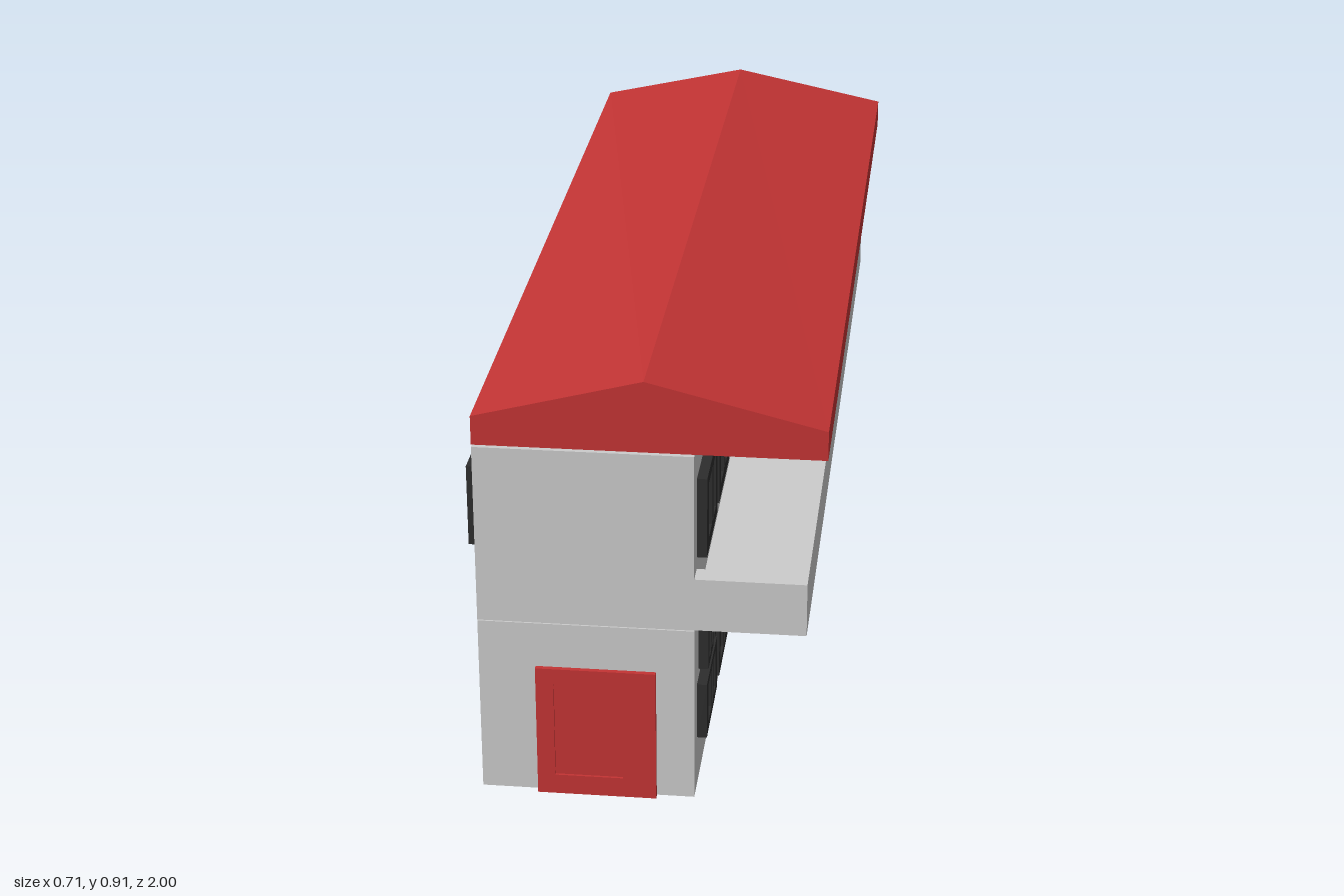
import * as THREE from 'three';

const wallMat = new THREE.MeshStandardMaterial({ color: 0xcccccc });
const redMat = new THREE.MeshStandardMaterial({ color: 0xc33434 });
const darkMat = new THREE.MeshStandardMaterial({ color: 0x2d2d2d });

const RIGHT = 0.1, LEFT = -0.33, FRONT = 0.99, BACK = -1;
const LENGTH = FRONT - BACK, MID = (FRONT + BACK) / 2;

// Box given by its limits on each axis
function block(name, mat, x0, x1, y0, y1, z0, z1) {
  const mesh = new THREE.Mesh(new THREE.BoxGeometry(x1 - x0, y1 - y0, z1 - z0), mat);
  mesh.position.set((x0 + x1) / 2, (y0 + y1) / 2, (z0 + z1) / 2);
  mesh.name = name;
  return mesh;
}

function rectangle(Type, x0, y0, x1, y1) {
  const path = new Type();
  path.moveTo(x0, y0);
  path.lineTo(x1, y0);
  path.lineTo(x1, y1);
  path.lineTo(x0, y1);
  path.closePath();
  return path;
}

// Panel with rectangular openings, given as fractions of width and height
function panel(w, h, depth, holes) {
  const shape = rectangle(THREE.Shape, -w / 2, 0, w / 2, h);
  for (const [a, b, c, d] of holes)
    shape.holes.push(rectangle(THREE.Path, (a - 0.5) * w, b * h, (c - 0.5) * w, d * h));
  return new THREE.ExtrudeGeometry(shape, { depth, bevelEnabled: false });
}

// Puts an object on a long side wall: side +1 is x+, -1 is x-
function mount(object, side, y, z) {
  object.rotation.y = side * Math.PI / 2;
  object.position.set(side > 0 ? RIGHT : LEFT, y, z);
  return object;
}

const wideHoles = [[0.16, 0.16, 0.46, 0.86], [0.52, 0.16, 0.61, 0.86], [0.66, 0.16, 0.86, 0.86]];
const smallHoles = [[0.16, 0.14, 0.46, 0.86], [0.56, 0.14, 0.84, 0.86]];

function windowRow(name, side, y, h, w, depth, holes, centres) {
  const row = new THREE.Group();
  row.name = name;
  const geometry = panel(w, h, depth, holes);
  for (const z of centres) {
    const frame = new THREE.Mesh(geometry, darkMat);
    frame.name = 'windowFrame';
    row.add(mount(frame, side, y, z));
  }
  return row;
}

// Door: pierced leaf over a thin backing, so the openings read as recesses
function door(name, w, h, depth, holes) {
  const group = new THREE.Group();
  group.name = name;
  const leaf = new THREE.Mesh(panel(w, h, depth, holes), redMat);
  leaf.name = 'doorLeaf';
  group.add(leaf);
  if (holes.length) {
    group.add(block('doorRecess', redMat, -w * 0.48, w * 0.48, h * 0.02, h * 0.98, 0, depth * 0.5));
  }
  return group;
}

// Gabled roof whose ridge drops slightly towards the back
function roof() {
  const s = new THREE.Shape();
  s.moveTo(LEFT, 0.765);
  s.lineTo(0.355, 0.765);
  s.lineTo(0.355, 0.825);
  s.lineTo(0.004, 0.912);
  s.lineTo(LEFT, 0.825);
  s.closePath();
  const geometry = new THREE.ExtrudeGeometry(s, { depth: LENGTH, bevelEnabled: false });
  geometry.translate(0, 0, BACK);
  const p = geometry.attributes.position;
  for (let i = 0; i < p.count; i++)
    if (p.getY(i) > 0.9 && p.getZ(i) < 0) p.setY(i, 0.898);
  geometry.computeVertexNormals();
  const mesh = new THREE.Mesh(geometry, redMat);
  mesh.name = 'roof';
  return mesh;
}

// Long balcony tray with parapets on three sides
function balcony() {
  const group = new THREE.Group();
  group.name = 'balcony';
  const x1 = 0.32, y0 = 0.385, y1 = 0.497, t = 0.045;
  group.add(
    block('balconyFloor', wallMat, RIGHT, x1 - t, y0, 0.41, BACK + t, FRONT - t),
    block('longParapet', wallMat, x1 - t, x1, y0, y1, BACK, FRONT),
    block('frontParapet', wallMat, RIGHT, x1 - t, y0, y1, FRONT - t, FRONT),
    block('backParapet', wallMat, RIGHT, x1 - t, y0, y1, BACK, BACK + t)
  );
  return group;
}

export function createModel() {
  const model = new THREE.Group();
  model.name = 'building';

  // Two storeys, balcony and roof
  model.add(
    block('lowerStorey', wallMat, LEFT, RIGHT, 0.003, 0.382, BACK, FRONT),
    block('upperStorey', wallMat, LEFT, RIGHT, 0.384, 0.76, BACK, FRONT),
    balcony(),
    roof()
  );

  // Windows on the balcony side
  model.add(
    windowRow('rightUpperWindows', 1, 0.52, 0.17, 0.2, 0.02, wideHoles,
      [0.84, 0.6, 0.36, 0.1, -0.165, -0.42]),
    windowRow('rightSmallWindows', 1, 0.253, 0.107, 0.1, 0.02, smallHoles,
      [0.86, 0.735, 0.515, 0.3, 0.11, -0.01, -0.15, -0.3, -0.44]),
    windowRow('rightLowerWindows', 1, 0.112, 0.122, 0.2, 0.02, wideHoles,
      [0.84, 0.59, 0.355, 0.105, -0.165, -0.4])
  );

  // Windows on the opposite side
  model.add(
    windowRow('leftUpperWindows', -1, 0.52, 0.17, 0.205, 0.023, wideHoles,
      [0.83, 0.6, 0.37, 0.125, -0.12, -0.355, -0.595, -0.82]),
    windowRow('leftSmallWindows', -1, 0.253, 0.107, 0.11, 0.008, smallHoles,
      [0.88, 0.715, 0.585, 0.425, 0.31, 0.045, -0.085, -0.29, -0.415]),
    windowRow('leftLowerWindows', -1, 0.112, 0.122, 0.2, 0.004, wideHoles,
      [0.84, 0.6, 0.36, 0.125, -0.11, -0.35])
  );

  // Doors
  const sideHoles = [[0.15, 0.1, 0.42, 0.9], [0.48, 0.1, 0.62, 0.9]];
  const frontDoor = door('frontDoor', 0.24, 0.286, 0.01, [[0.15, 0.15, 0.72, 0.88]]);
  frontDoor.position.set(-0.096, 0, FRONT);
  model.add(
    frontDoor,
    mount(door('rightLowerDoor', 0.245, 0.285, 0.02, sideHoles), 1, 0.016, -0.697),
    mount(door('rightUpperDoor', 0.245, 0.29, 0.02, sideHoles), 1, 0.411, -0.697),
    mount(door('leftDoor', 0.28, 0.285, 0.026, []), -1, 0.009, -0.67)
  );
  return model;
}
